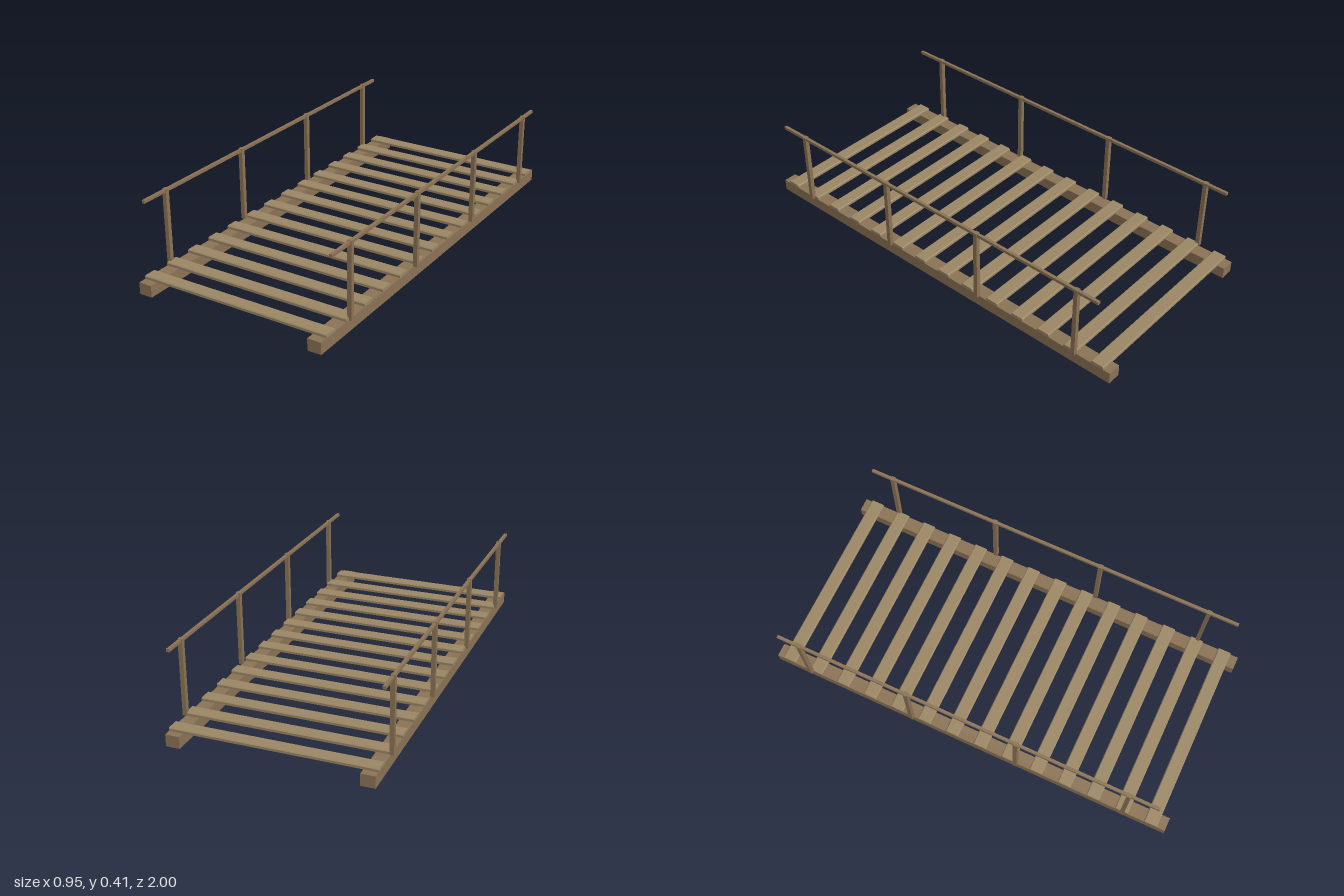
import * as THREE from 'three';

const beamWood = new THREE.MeshStandardMaterial({ color: 0x8b7355, flatShading: true });
const plankWood = new THREE.MeshStandardMaterial({ color: 0x9b8765, flatShading: true });

function add(parent, name, geometry, material, x, y, z) {
  const mesh = new THREE.Mesh(geometry, material);
  mesh.name = name;
  mesh.position.set(x, y, z);
  parent.add(mesh);
}

// Plank with slightly chamfered top edges, running along x
function plankGeometry(length, height, depth, chamfer) {
  const d = depth / 2;
  const section = new THREE.Shape([
    [-d, 0], [d, 0], [d, height - chamfer], [d - chamfer, height],
    [-d + chamfer, height], [-d, height - chamfer],
  ].map(([x, y]) => new THREE.Vector2(x, y)));
  const geometry = new THREE.ExtrudeGeometry(section, { depth: length, bevelEnabled: false });
  return geometry.translate(0, 0, -length / 2).rotateY(Math.PI / 2);
}

export function createModel() {
  const bridge = new THREE.Group();
  bridge.name = 'footbridge';

  // Deck planks
  const plank = plankGeometry(0.922, 0.015, 0.064, 0.004);
  for (let i = 0; i < 14; i++) {
    add(bridge, 'deckPlank', plank, plankWood, 0, 0.055, -0.935 + i * 0.1434);
  }

  // Support beam and handrail on each side
  const beam = new THREE.BoxGeometry(0.064, 0.055, 2);
  const post = new THREE.BoxGeometry(0.02, 0.356, 0.02);
  const rail = new THREE.BoxGeometry(0.014, 0.014, 1.858);
  for (const side of [1, -1]) {
    const name = side > 0 ? 'left' : 'right';
    add(bridge, name + 'Beam', beam, beamWood, side * 0.428, 0.0275, 0);
    for (let i = 0; i < 4; i++) {
      add(bridge, name + 'Post', post, beamWood, side * 0.464, 0.233, 0.79 - i * 0.5355);
    }
    add(bridge, name + 'Handrail', rail, beamWood, side * 0.464, 0.402, 0.003);
  }
  return bridge;
}
